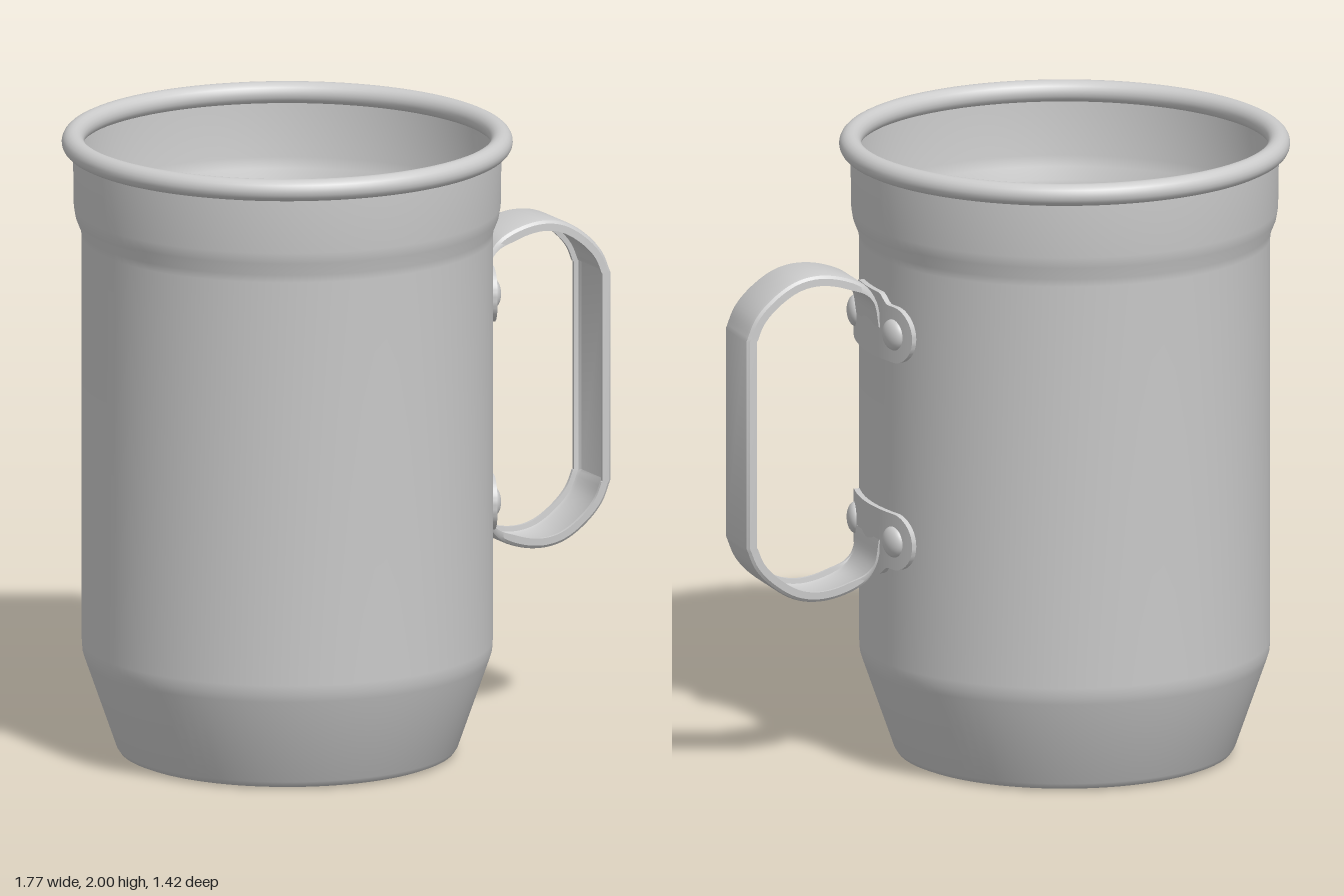
import * as THREE from 'three';
import { toCreasedNormals } from 'three/addons/utils/BufferGeometryUtils.js';

const R = 0.645;          // body radius
const CUP_X = -0.18;      // cup axis
const MID_Y = 1.105;      // handle mirror height
const material = new THREE.MeshStandardMaterial({ color: 0xcccccc, side: THREE.DoubleSide });

function addMesh(parent, geometry, name) {
  const mesh = new THREE.Mesh(geometry, material);
  mesh.name = name;
  parent.add(mesh);
  return mesh;
}

// Thin-walled cup: out along the base, up the outside, down the inside
function cupGeometry() {
  const profile = [
    [0, 0.02], [0.39, 0.02], [0.4, 0.004], [0.41, 0], [0.51, 0.003], [0.527, 0.01], [0.537, 0.025],
    [0.635, 0.305], [0.643, 0.33], [R, 0.36], [R, 1.66], [0.648, 1.685], [0.664, 1.725],
    [0.67, 1.76], [0.673, 1.96], [0.66, 1.96], [0.658, 1.76], [0.652, 1.725], [0.637, 1.685],
    [0.634, 1.66], [0.634, 0.36], [0.631, 0.33], [0.53, 0.035], [0, 0.035],
  ].map(([x, y]) => new THREE.Vector2(x, y));
  return toCreasedNormals(new THREE.LatheGeometry(profile, 96), 0.6);
}

// Points (radius, height) along the strap, from upper plate to lower plate
function strapPath() {
  const arc = new THREE.CatmullRomCurve3([
    [0.647, 1.45], [0.662, 1.53], [0.7, 1.585], [0.77, 1.62], [0.86, 1.635],
    [0.94, 1.62], [1.02, 1.57], [1.075, 1.51], [1.105, 1.44],
  ].map(([x, y]) => new THREE.Vector3(x, y, 0))).getPoints(40);
  const lower = arc.map((p) => new THREE.Vector3(p.x, 2 * MID_Y - p.y, 0)).reverse();
  return [...arc, ...lower];
}

// Strap with inward-rolled edges, swept along the path
function strapGeometry() {
  const half = [[0.08, 0], [0.092, 0.003], [0.099, 0.012], [0.1, 0.035],
    [0.09, 0.035], [0.088, 0.019], [0.078, 0.014]];
  const section = [...half, ...half.map(([w, d]) => [-w, d]).reverse()];
  const path = strapPath();
  const last = path.length - 1;
  const n = section.length;
  const positions = [];
  const indices = [];
  path.forEach((p, i) => {
    const t = path[Math.min(i + 1, last)].clone().sub(path[Math.max(i - 1, 0)]).normalize();
    // rolled edges fade out where the strap meets the plates
    const lip = THREE.MathUtils.smoothstep(Math.min(i, last - i), 5, 14);
    for (const [w, d] of section) {
      const depth = d > 0.014 ? 0.014 + (d - 0.014) * lip : d;
      positions.push(p.x + t.y * depth, p.y - t.x * depth, w);
    }
    if (i === last) return;
    for (let j = 0; j < n; j++) {
      const a = i * n + j;
      const d = i * n + (j + 1) % n;
      indices.push(a, d, d + n, a, d + n, a + n);
    }
  });
  const geometry = new THREE.BufferGeometry();
  geometry.setAttribute('position', new THREE.Float32BufferAttribute(positions, 3));
  geometry.setIndex(indices);
  return toCreasedNormals(geometry, 0.6);
}

// Round-ended plate bent around the cup; flip = -1 gives the lower one
function plateGeometry(flip) {
  const halfLength = 0.26, endRadius = 0.09;
  const geometry = new THREE.BoxGeometry(1, 1, 1, 64, 2, 1);
  const pos = geometry.attributes.position;
  for (let i = 0; i < pos.count; i++) {
    // cosine spacing keeps the round ends smooth
    const s = halfLength * Math.sin(pos.getX(i) * Math.PI);
    const past = Math.max(0, Math.abs(s) - (halfLength - endRadius));
    const h = Math.sqrt(Math.max(0, endRadius ** 2 - past ** 2));
    const neck = 0.03 * (1 - THREE.MathUtils.smoothstep(Math.abs(s), 0.085, 0.14));
    const v = pos.getY(i) * 2;
    const y = v * h + (v * flip > 0 ? v * neck : 0);
    const r = R + 0.008 + pos.getZ(i) * 0.02;
    const angle = -s / R;
    pos.setXYZ(i, r * Math.cos(angle), y, r * Math.sin(angle));
  }
  return toCreasedNormals(geometry, 0.6);
}

export function createModel() {
  const model = new THREE.Group();
  model.name = 'mug';

  const cup = new THREE.Group();
  cup.name = 'cup';
  cup.position.x = CUP_X;
  model.add(cup);
  addMesh(cup, cupGeometry(), 'cupBody');

  // Rolled rim
  const rim = addMesh(cup, new THREE.TorusGeometry(0.673, 0.035, 20, 96), 'rim');
  rim.rotation.x = Math.PI / 2;
  rim.position.y = 1.965;

  // Handle, swung towards the back
  const handle = new THREE.Group();
  handle.name = 'handle';
  handle.position.x = CUP_X;
  handle.rotation.y = THREE.MathUtils.degToRad(21.8);
  model.add(handle);
  addMesh(handle, strapGeometry(), 'handleStrap');

  for (const flip of [1, -1]) {
    const y = MID_Y + flip * 0.335;
    const prefix = flip > 0 ? 'upper' : 'lower';
    addMesh(handle, plateGeometry(flip), prefix + 'Plate').position.y = y;

    // Domed rivets on both ends of the plate
    for (const side of [1, -1]) {
      const angle = side * 0.26;
      const rivet = addMesh(handle, new THREE.SphereGeometry(0.05, 24, 16), prefix + 'Rivet');
      rivet.scale.x = 0.55;
      rivet.position.set(0.66 * Math.cos(angle), y, -0.66 * Math.sin(angle));
      rivet.rotation.y = angle;
    }
  }
  return model;
}
